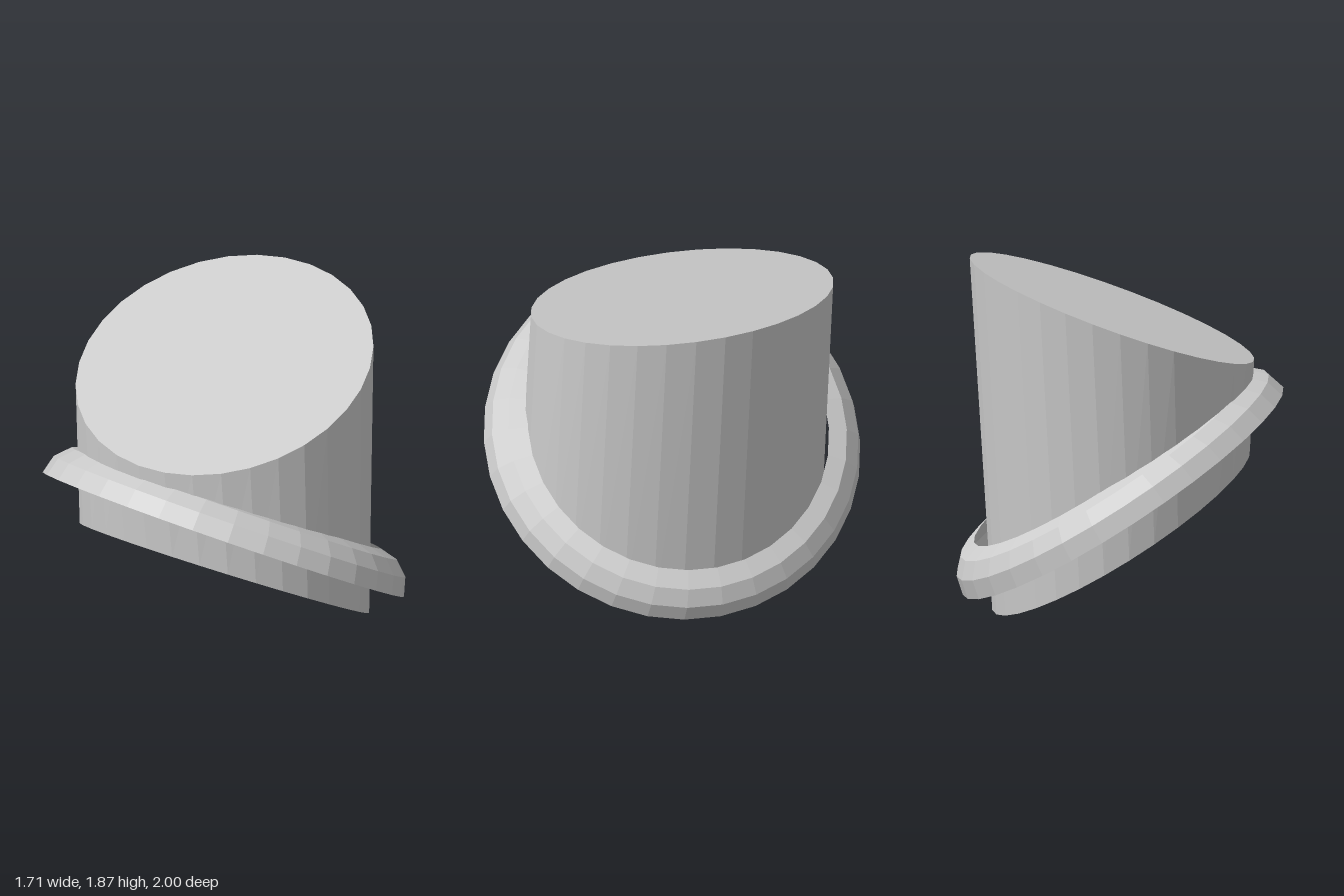
import * as THREE from 'three';

const SEGMENTS = 32;

// A ring is a tilted circle: centre plus two radius vectors u and v.
const ring = (centre, u, v) => ({
  centre: new THREE.Vector3(...centre),
  u: new THREE.Vector3(...u),
  v: new THREE.Vector3(...v),
});

// Skin a list of rings, ordered from bottom to top.
function loft(rings) {
  const positions = [];
  const indices = [];
  rings.forEach(({ centre, u, v }) => {
    for (let i = 0; i < SEGMENTS; i++) {
      const a = (i / SEGMENTS) * Math.PI * 2;
      const p = centre.clone().addScaledVector(u, Math.cos(a)).addScaledVector(v, Math.sin(a));
      positions.push(p.x, p.y, p.z);
    }
  });
  for (let r = 0; r < rings.length - 1; r++) {
    for (let i = 0; i < SEGMENTS; i++) {
      const j = (i + 1) % SEGMENTS;
      const a = r * SEGMENTS + i;
      const b = r * SEGMENTS + j;
      indices.push(a, a + SEGMENTS, b, b, a + SEGMENTS, b + SEGMENTS);
    }
  }
  const geometry = new THREE.BufferGeometry();
  geometry.setAttribute('position', new THREE.Float32BufferAttribute(positions, 3));
  geometry.setIndex(indices);
  geometry.computeVertexNormals();
  return geometry;
}

export function createModel() {
  const group = new THREE.Group();
  group.name = 'flangedTube';
  const material = new THREE.MeshStandardMaterial({
    color: 0xcccccc,
    flatShading: true,
    side: THREE.DoubleSide,
  });
  const add = (name, geometry) => {
    const mesh = new THREE.Mesh(geometry, material);
    mesh.name = name;
    group.add(mesh);
  };

  // Tube wall, open below, between two circles tilted in opposite directions
  const bottom = ring([-0.005, 0.422, 0], [0.675, -0.42, 0], [0, 0.025, 0.8]);
  const top = ring([0.045, 1.605, -0.037], [0.745, 0.27, 0], [0, 0, 0.798]);
  add('tubeWall', loft([bottom, top]));

  // Flat slanted lid
  const lidCentre = ring(top.centre.toArray(), [0, 0, 0], [0, 0, 0]);
  add('topLid', loft([top, lidCentre]));

  // Collar: quarter-round lip swept around the tube, hollow underneath
  const out = new THREE.Vector3(0.84, -0.543, 0).normalize();
  const up = new THREE.Vector3(0.543, 0.84, 0).normalize();
  const collarCentre = new THREE.Vector3(-0.015, 0.628, 0);
  const collarRings = [];
  for (let k = 0; k <= 3; k++) {
    const a = (k / 3) * (Math.PI / 2);
    const radius = 0.8 + 0.2 * Math.cos(a);
    const centre = collarCentre.clone().addScaledVector(up, 0.2 * Math.sin(a));
    const u = out.clone().multiplyScalar(radius);
    collarRings.push(ring(centre.toArray(), u.toArray(), [0, 0, radius]));
  }
  add('collar', loft(collarRings));

  return group;
}
